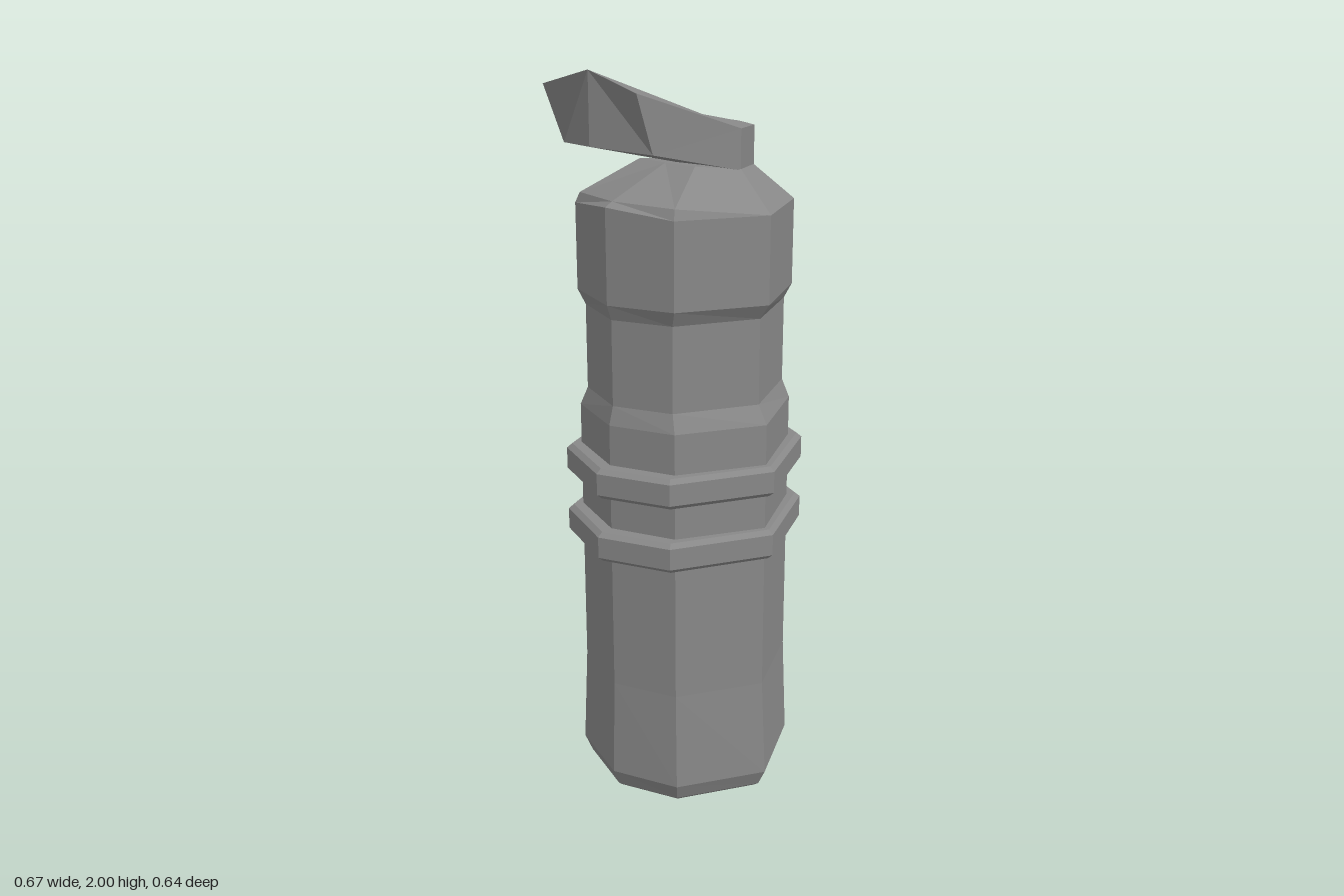
import * as THREE from 'three';

const material = new THREE.MeshStandardMaterial({ color: 0x888888, flatShading: true });

// Skin a list of equal-length point loops and close both ends.
function loft(name, loops) {
  const pos = [];
  const tri = (a, b, c) => {
    const area = new THREE.Vector3().subVectors(b, a).cross(new THREE.Vector3().subVectors(c, a)).length();
    if (area > 1e-7) for (const p of [a, b, c]) pos.push(p.x, p.y, p.z);
  };
  const n = loops[0].length;
  for (let j = 0; j < loops.length - 1; j++) {
    for (let i = 0; i < n; i++) {
      const k = (i + 1) % n;
      const a = loops[j][i], b = loops[j][k], c = loops[j + 1][k], d = loops[j + 1][i];
      // Mirror the diagonals on the second half of the loop
      if (i < n / 2) {
        tri(a, d, c);
        tri(a, c, b);
      } else {
        tri(a, d, b);
        tri(b, d, c);
      }
    }
  }
  const first = loops[0], last = loops[loops.length - 1];
  for (let i = 1; i < n - 1; i++) {
    tri(first[0], first[i], first[i + 1]);
    tri(last[0], last[i + 1], last[i]);
  }
  const geo = new THREE.BufferGeometry();
  geo.setAttribute('position', new THREE.Float32BufferAttribute(pos, 3));
  geo.computeVertexNormals();
  const mesh = new THREE.Mesh(geo, material);
  mesh.name = name;
  return mesh;
}

const V = (x, y, z) => new THREE.Vector3(x, y, z);

// Slightly uneven octagon; rx and rz are the half widths.
const OCTAGON = [[1, 0], [0.77, 0.6], [0, 1], [-0.77, 0.6], [-1, 0], [-0.77, -0.65], [0, -1], [0.77, -0.65]];
const octagon = (y, rx, rz) => OCTAGON.map(([x, z]) => V(x * rx, y, z * rz));

function createBody() {
  const loops = [
    [0, 0.265, 0.27], [0.012, 0.279, 0.285], [0.06, 0.298, 0.308], [0.34, 0.289, 0.291],
    [1.1, 0.289, 0.289], [1.15, 0.275, 0.26], [1.38, 0.275, 0.26], [1.42, 0.289, 0.289],
    [1.648, 0.289, 0.289],
  ].map((s) => octagon(...s));

  // Rim peaks at the two sides, with a small ledge under the spout
  const rim = loops[loops.length - 1];
  rim[0].y = rim[4].y = 1.668;
  const ledge = rim.map((p) => p.clone());
  ledge[3].set(-0.213, 1.675, 0.167);
  ledge[4].set(-0.265, 1.68, 0);
  ledge[5].set(-0.213, 1.675, -0.18);
  ledge[6].set(0, 1.662, -0.277);
  // Shoulder rises to the neck
  const neck = [
    [0.19, 1.735, 0], [0.158, 1.735, 0.087], [0.055, 1.738, 0.137], [-0.075, 1.755, 0.1],
    [-0.08, 1.755, 0], [-0.075, 1.755, -0.1], [0.055, 1.738, -0.133], [0.158, 1.735, -0.085],
  ].map((p) => V(...p));
  return loft('body', [...loops, ledge, neck]);
}

// Bevelled collar around the body
function createCollar(y0, y1) {
  const section = [
    [y0, 0.28, 0.28], [y0, 0.32, 0.302], [y0 + 0.014, 0.337, 0.319],
    [y1 - 0.012, 0.337, 0.319], [y1, 0.322, 0.305], [y1, 0.28, 0.28],
  ];
  return loft('collar', section.map((s) => octagon(...s)));
}

// Cap on the neck that sweeps out into a spout with a straight ridge on top
function createSpout() {
  // x, half width, top centre y, top side y, lower x, lower half width, lower side y, lower centre y
  const sections = [
    [0.192, 0, 1.836, 1.836, 0.192, 0, 1.73, 1.73],
    [0.159, 0.087, 1.842, 1.836, 0.159, 0.087, 1.73, 1.73],
    [0.055, 0.136, 1.864, 1.84, 0.055, 0.136, 1.735, 1.73],
    [-0.335, 0.166, 2.0, 1.957, -0.278, 0.16, 1.81, 1.82],
  ];
  return loft('spout', sections.map(([x, w, topY, sideY, lx, lw, lowY, keelY]) => [
    V(x, topY, 0), V(x, sideY, w), V(lx, lowY, lw), V(x, keelY, 0), V(lx, lowY, -lw), V(x, sideY, -w),
  ]));
}

export function createModel() {
  const group = new THREE.Group();
  group.name = 'pumpBottle';
  group.add(createBody(), createSpout());
  for (const [y0, y1] of [[0.725, 0.81], [0.905, 0.99]]) group.add(createCollar(y0, y1));
  return group;
}
